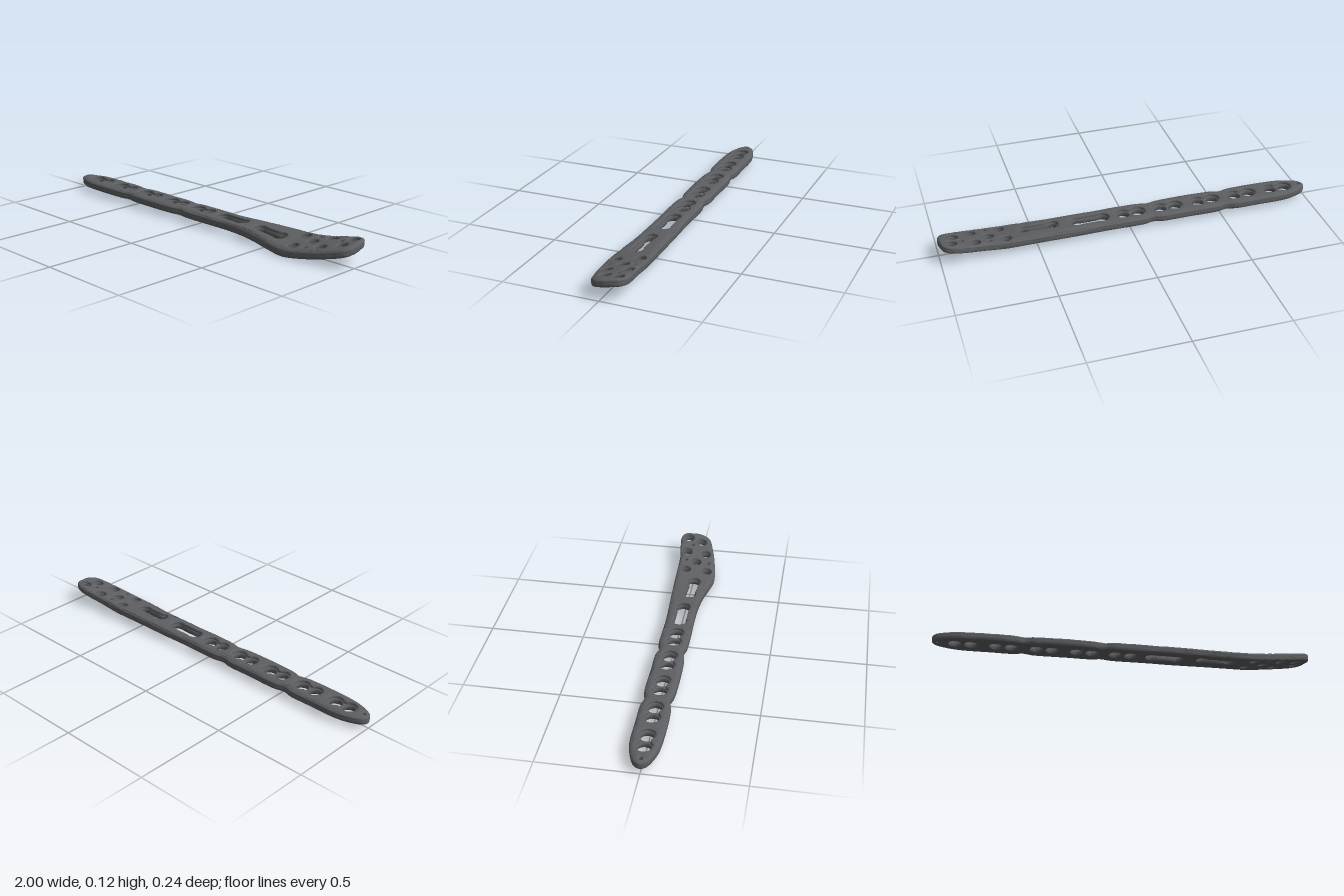
import * as THREE from 'three';
import { mergeVertices, toCreasedNormals } from 'three/addons/utils/BufferGeometryUtils.js';

const THICK = 0.045, BEVEL = 0.006, BEVEL_H = 0.008;

// Plate outline in plan as [x, z]: tapered tip, waisted shaft, flared head
const OUTLINE = [
  [-1, -.005], [-.985, -.035], [-.93, -.062], [-.86, -.078], [-.7, -.08], [-.58, -.08], [-.53, -.068],
  [-.48, -.08], [-.3, -.08], [-.17, -.08], [-.12, -.069], [-.07, -.08], [.15, -.08], [.4, -.09], [.6, -.097],
  [.78, -.102], [.88, -.116], [.94, -.119], [.98, -.1], [.995, -.05], [1, -.01], [.98, .04], [.9, .072],
  [.78, .1], [.65, .115], [.54, .1], [.4, .078], [.25, .07], [-.07, .07], [-.12, .059], [-.17, .07],
  [-.48, .07], [-.53, .058], [-.58, .07], [-.86, .068], [-.93, .052], [-.985, .025],
];
const edge = new THREE.CatmullRomCurve3(OUTLINE.map(([x, z]) => new THREE.Vector3(x, -z, 0)), true)
  .getSpacedPoints(260).slice(0, -1).map((p) => new THREE.Vector2(p.x, p.y));

const PAIRS = [-.842, -.634, -.425, -.216, -.011];
const HEAD_HOLES = [[.66, -.053], [.82, -.068], [.94, -.074], [.745, -.005], [.925, .001], [.68, .065], [.83, .04]];
const PIN_HOLES = [[-.97, -.004], [.745, -.063], [.885, -.045], [.755, .067]];

function round(x, z, r) {
  const p = new THREE.Path();
  p.absarc(x, -z, r, 0, Math.PI * 2, false);
  return p;
}

// Two round ends joined by a narrower waist
function slot(x0, z0, x1, z1, r, waist) {
  const a = Math.asin(waist / r), p = new THREE.Path();
  p.absarc(x1, -z1, r, a - Math.PI, Math.PI - a, false);
  p.absarc(x0, -z0, r, a, Math.PI * 2 - a, false);
  p.closePath();
  return p;
}

// Halve long edges so the plate can bend smoothly
function subdivide(geo, maxLen) {
  const src = geo.index ? geo.toNonIndexed().attributes.position : geo.attributes.position;
  const out = [], stack = [];
  for (let i = 0; i < src.count; i += 3)
    stack.push([0, 1, 2].map((k) => new THREE.Vector3().fromBufferAttribute(src, i + k)));
  while (stack.length) {
    const t = stack.pop();
    const len = [0, 1, 2].map((k) => t[k].distanceTo(t[(k + 1) % 3]));
    const k = len.indexOf(Math.max(...len));
    if (len[k] <= maxLen) {
      t.forEach((v) => out.push(v.x, v.y, v.z));
      continue;
    }
    const a = t[k], b = t[(k + 1) % 3], c = t[(k + 2) % 3];
    const m = a.clone().add(b).multiplyScalar(0.5);
    stack.push([a, m, c], [m, b, c]);
  }
  const g = new THREE.BufferGeometry();
  g.setAttribute('position', new THREE.Float32BufferAttribute(out, 3));
  return g;
}

// Round the upper rim, then lift and tilt the head
function bend(geo) {
  const pos = geo.attributes.position, v = new THREE.Vector3();
  for (let i = 0; i < pos.count; i++) {
    v.fromBufferAttribute(pos, i);
    let d = 1;
    for (const e of edge) d = Math.min(d, Math.hypot(e.x - v.x, e.y + v.z));
    const top = THREE.MathUtils.clamp((v.y - 0.022) / 0.023, 0, 1);
    const rim = 0.01 * top * Math.max(0, 1 - d / 0.03) ** 2;
    const lift = 0.052 - 0.007 * THREE.MathUtils.smoothstep(v.x, 0.3, 0.65)
      + 0.05 * Math.max(0, (v.x - 0.65) / 0.35) ** 1.4;
    const tilt = 0.17 * THREE.MathUtils.smoothstep(v.x, 0.2, 0.65);
    pos.setY(i, v.y - THICK / 2 - rim + lift - tilt * v.z);
  }
  return geo;
}

// One bevelled layer of the plate between two heights
function layer(y0, y1, holes) {
  const shape = new THREE.Shape(edge);
  shape.holes.push(...holes);
  const geo = new THREE.ExtrudeGeometry(shape, {
    depth: y1 - y0 - 2 * BEVEL_H, curveSegments: 14, bevelEnabled: true, bevelSegments: 3,
    bevelSize: BEVEL, bevelThickness: BEVEL_H, bevelOffset: -BEVEL,
  });
  geo.translate(0, 0, y0 + BEVEL_H).rotateX(-Math.PI / 2);
  const fine = mergeVertices(bend(subdivide(geo, 0.03)), 1e-5);
  return toCreasedNormals(fine, 0.7);
}

export function createModel() {
  const group = new THREE.Group();
  group.name = 'bonePlate';
  const metal = new THREE.MeshStandardMaterial({ color: 0x5e5f62 });
  metal.name = 'dark grey metal';

  const pins = () => PIN_HOLES.map(([x, z]) => round(x, z, 0.009));

  // Lower layer with the through holes
  const lowerHoles = [
    ...PAIRS.flatMap((x) => [round(x - .0405, -.005, .033), round(x + .0405, -.005, .033)]),
    slot(.142, -.005, .275, -.005, .034, .03),
    slot(.41, .007, .552, .014, .031, .024),
    ...HEAD_HOLES.map(([x, z]) => round(x, z, .026)),
    ...pins(),
  ];
  // Upper layer with the wider screw head recesses
  const upperHoles = [
    ...PAIRS.map((x) => slot(x - .0405, -.005, x + .0405, -.005, .04, .026)),
    slot(.142, -.005, .275, -.005, .037, .033),
    slot(.41, .007, .552, .014, .035, .028),
    ...HEAD_HOLES.map(([x, z]) => round(x, z, .0285)),
    ...pins(),
  ];

  const lower = new THREE.Mesh(layer(0, 0.03, lowerHoles), metal);
  lower.name = 'lowerPlate';
  const upper = new THREE.Mesh(layer(0.014, THICK, upperHoles), metal);
  upper.name = 'upperPlate';
  group.add(lower, upper);

  // Rest on the ground, centred
  const box = new THREE.Box3().setFromObject(group);
  const c = box.getCenter(new THREE.Vector3());
  for (const m of group.children) m.geometry.translate(-c.x, -box.min.y, -c.z);
  return group;
}
